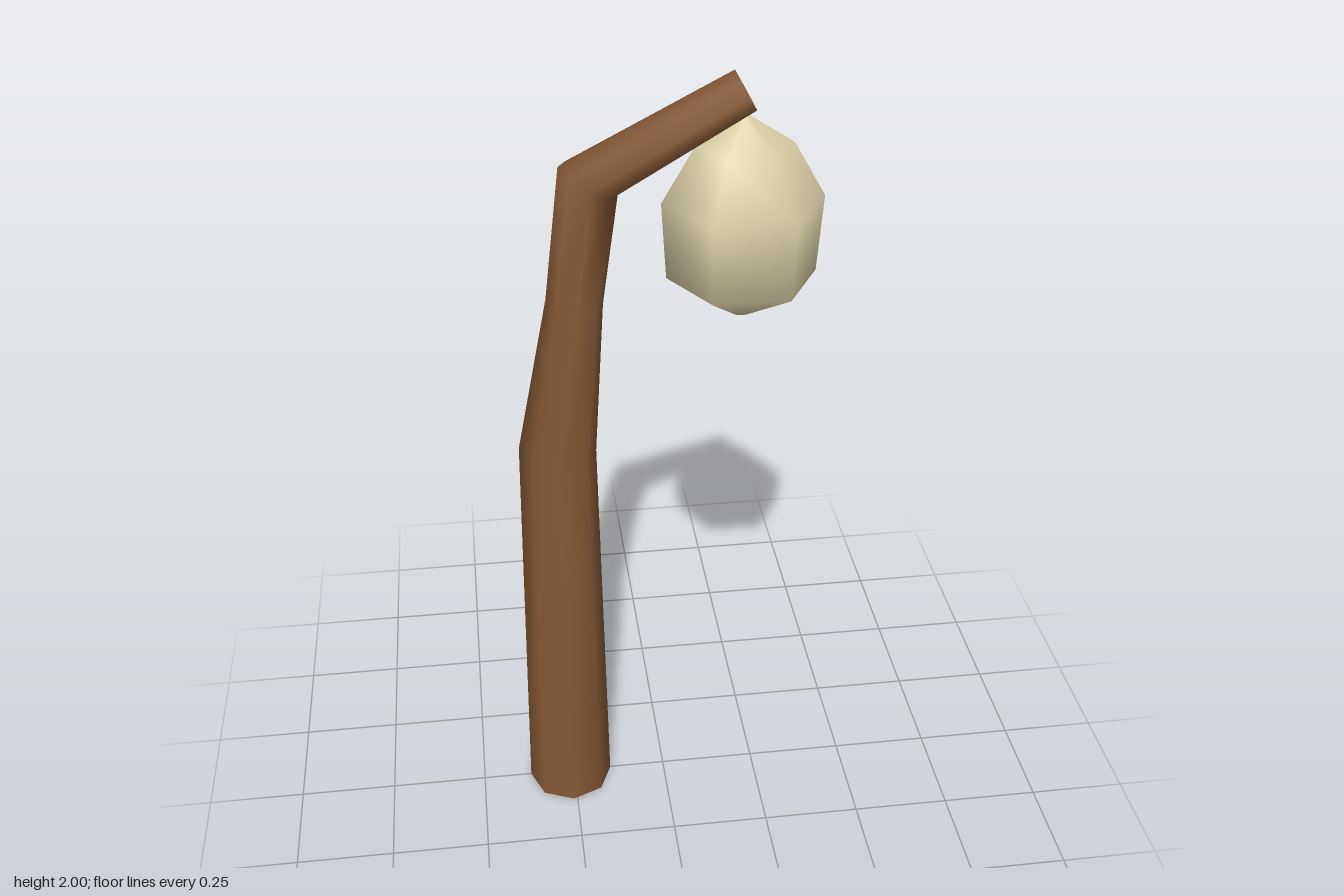
import * as THREE from 'three';

const SIDES = 8;

// Smooth open tube through tilted rings: [centre x, centre y, half-axis x, half-axis y, z radius]
function loft(rings) {
  const positions = [];
  const index = [];
  rings.forEach(([cx, cy, ux, uy, rz], i) => {
    for (let j = 0; j < SIDES; j++) {
      const a = (j / SIDES) * Math.PI * 2;
      positions.push(cx + ux * Math.cos(a), cy + uy * Math.cos(a), rz * Math.sin(a));
      if (i === rings.length - 1) continue;
      const here = i * SIDES + j;
      const next = i * SIDES + ((j + 1) % SIDES);
      index.push(here, here + SIDES, next, next, here + SIDES, next + SIDES);
    }
  });
  const geometry = new THREE.BufferGeometry();
  geometry.setAttribute('position', new THREE.Float32BufferAttribute(positions, 3));
  geometry.setIndex(index);
  geometry.computeVertexNormals();
  return geometry;
}

export function createModel() {
  const wood = new THREE.MeshStandardMaterial({ color: 0x855936, side: THREE.DoubleSide });
  wood.name = 'brown wood';
  const glow = new THREE.MeshStandardMaterial({ color: 0xded2aa });
  glow.name = 'pale cream';

  const group = new THREE.Group();
  group.name = 'lampPost';

  // Hollow bent post with its arm
  const post = new THREE.Mesh(loft([
    [-0.26, 0, 0.111, 0, 0.112],
    [-0.258, 1.07, 0.094, -0.01, 0.093],
    [-0.205, 1.47, 0.066, -0.01, 0.074],
    [-0.166, 1.765, 0.066, -0.034, 0.075],
    [0.181, 1.954, 0.026, -0.046, 0.056],
  ]), wood);
  post.name = 'post';
  group.add(post);

  // Six-sided hanging lantern, with a corner towards the tip of the arm
  const profile = [[0, 1.415], [0.02, 1.417], [0.175, 1.515], [0.187, 1.7], [0.112, 1.83], [0.012, 1.895], [0, 1.897]];
  const lanternGeometry = new THREE.LatheGeometry(
    profile.map(([r, y]) => new THREE.Vector2(r, y)), 6, Math.PI / 2);
  lanternGeometry.computeVertexNormals();
  const lantern = new THREE.Mesh(lanternGeometry, glow);
  lantern.name = 'lantern';
  lantern.position.x = 0.183;
  group.add(lantern);

  return group;
}
